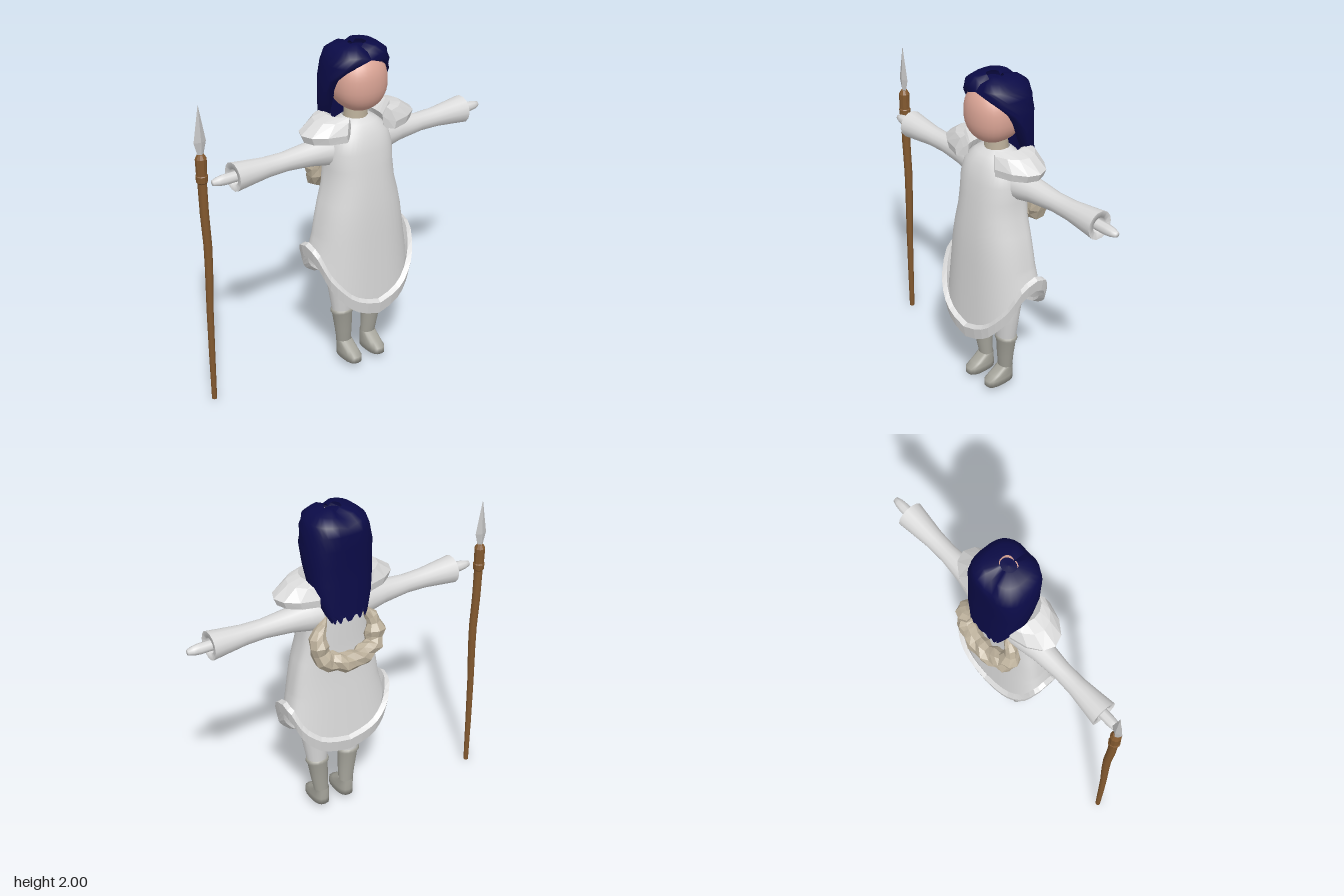
import * as THREE from 'three';

const mat = (name, color) => new THREE.MeshStandardMaterial({ name, color, side: THREE.DoubleSide });
const rad = THREE.MathUtils.degToRad;
const sp = (v, p) => Math.sign(v) * Math.abs(v) ** p;

// Surface through a grid of points f(column, row) -> [x, y, z]
function grid(nu, nv, f, { closed = true, flat = false } = {}) {
  const pos = [], idx = [];
  for (let v = 0; v < nv; v++) for (let u = 0; u < nu; u++) pos.push(...f(u, v));
  for (let v = 0; v < nv - 1; v++) {
    for (let u = 0; u < (closed ? nu : nu - 1); u++) {
      const a = v * nu + u, b = v * nu + (u + 1) % nu, c = a + nu, d = b + nu;
      idx.push(a, c, b, b, c, d);
    }
  }
  let g = new THREE.BufferGeometry();
  g.setAttribute('position', new THREE.Float32BufferAttribute(pos, 3));
  g.setIndex(idx);
  if (flat) g = g.toNonIndexed();
  g.computeVertexNormals();
  return g;
}

// Loft through horizontal rings [y, x, z, rx, rz], listed from top to bottom
function loft(rings, n = 16, flat = false, p = 1) {
  return grid(n, rings.length, (u, v) => {
    const [y, x, z, rx, rz] = rings[v], t = u / n * Math.PI * 2;
    return [x + rx * sp(Math.sin(t), p), y, z + rz * sp(Math.cos(t), p)];
  }, { flat });
}

// Piecewise linear lookup in [key, value] pairs
function lookup(table, k) {
  let i = 1;
  while (i < table.length - 1 && table[i][0] < k) i++;
  const [a, va] = table[i - 1], [b, vb] = table[i];
  return va + (vb - va) * (k - a) / (b - a);
}

export function createModel() {
  const cloth = mat('white cloth', 0xdadada), hairM = mat('dark blue hair', 0x0b0b47);
  const skin = mat('skin', 0xdba596), fur = mat('beige fur', 0xbcb09b);
  const boot = mat('grey leather', 0xa3a299), wood = mat('wood', 0x83592f), steel = mat('steel', 0xc4c4c4);
  const model = new THREE.Group(), body = new THREE.Group();
  body.name = 'figure';
  body.position.x = 0.03;
  model.add(body);
  const add = (name, geo, m, parent = body) => {
    const mesh = new THREE.Mesh(geo, m);
    mesh.name = name;
    parent.add(mesh);
    return mesh;
  };

  // Hem of the tunic: low points at front and back, raised over the hips
  const hemY = [[0, 0.43], [23, 0.49], [53, 0.63], [75, 0.77], [90, 0.8], [108, 0.77], [130, 0.66], [155, 0.58], [180, 0.54]];
  const N = 40;
  const hem = (u, out = 0, dy = 0) => {
    const t = u / N * Math.PI * 2, s = Math.sin(t), c = Math.cos(t);
    const deg = Math.acos(THREE.MathUtils.clamp(c, -1, 1)) * 180 / Math.PI;
    return [(0.305 + out) * sp(s, 0.75), lookup(hemY, deg) + dy, ((c > 0 ? 0.222 : 0.145) + out) * sp(c, 0.75)];
  };

  // Tunic rings: y, half width, front depth, back depth
  const tunic = [[1.575, 0.07, 0.07, 0.06], [1.55, 0.12, 0.11, 0.085], [1.5, 0.18, 0.155, 0.1], [1.4, 0.205, 0.178, 0.1],
    [1.3, 0.205, 0.19, 0.1], [1.2, 0.215, 0.2, 0.095], [1.1, 0.243, 0.208, 0.095], [1, 0.265, 0.213, 0.1], [0.9, 0.28, 0.215, 0.11]];
  const skirtRows = 4;
  add('tunic', grid(N, tunic.length + skirtRows, (u, v) => {
    const [y, rx, zf, zb] = tunic[Math.min(v, tunic.length - 1)], t = u / N * Math.PI * 2;
    const c = Math.cos(t);
    const p = [rx * sp(Math.sin(t), 0.8), y, (c > 0 ? zf : zb) * sp(c, 0.8)];
    const k = Math.max(0, v - tunic.length + 1) / skirtRows, h = hem(u);
    return p.map((a, i) => a + (h[i] - a) * k);
  }), cloth);

  // Thick trim following the hem
  const trim = [[-0.005, -0.02], [0.025, -0.03], [0.038, 0.045], [0.012, 0.06], [-0.005, -0.02]];
  add('hemTrim', grid(N, trim.length, (u, v) => hem(u, ...trim[v]), { flat: true }), cloth);

  // Neck and head
  add('neck', loft([[1.67, 0, 0.01, 0.065, 0.06], [1.5, 0, 0.01, 0.075, 0.07]]), fur);
  const head = new THREE.SphereGeometry(1, 28, 20), hp = head.attributes.position;
  for (let i = 0; i < hp.count; i++) {
    hp.setXYZ(i, 0.157 * sp(hp.getX(i), 0.95), 1.79 + 0.172 * sp(hp.getY(i), 0.88), 0.03 + 0.155 * sp(hp.getZ(i), 0.8));
  }
  head.computeVertexNormals();
  add('head', head, skin);

  // Hair rows: y, half width, centre z, depth, how far the arc wraps from the back
  const hairRows = [[2, 0.05, 0.02, 0.04, 180], [1.99, 0.12, 0.01, 0.11, 180], [1.955, 0.165, 0.005, 0.152, 180],
    [1.9, 0.185, 0, 0.158, 145], [1.82, 0.2, -0.01, 0.15, 112], [1.72, 0.2, -0.015, 0.145, 95], [1.62, 0.193, -0.03, 0.135, 90],
    [1.52, 0.165, -0.09, 0.083, 90], [1.44, 0.135, -0.125, 0.05, 90], [1.39, 0.11, -0.155, 0.025, 90]];
  const H = 29;
  add('hair', grid(H, hairRows.length, (u, v) => {
    const [y, rx, zc, rz, wrap] = hairRows[v];
    const tip = u === 0 || u === H - 1;
    const k = THREE.MathUtils.clamp((u - 1) / (H - 3), 0, 1) * 2 - 1, t = rad(wrap) * k;
    const x = rx * sp(Math.sin(t), 0.75) * (tip ? 0.72 : 1);
    const parting = v < 3 && Math.abs(x) < 0.012 ? 0.02 : 0;
    const jag = v === hairRows.length - 1 && u % 4 < 2 ? 0.03 : 0;
    return [x, y - parting + jag, zc - rz * sp(Math.cos(t), 0.75)];
  }, { closed: false }), hairM);
  add('crown', loft([[1.982, 0, 0.02, 0.001, 0.001], [1.978, 0, 0.02, 0.05, 0.04]]), hairM);

  // Drooping fur roll on the back
  const path = [[-0.12, 1.41, -0.1], [-0.18, 1.3, -0.125], [-0.16, 1.18, -0.15], [0, 1.135, -0.185],
    [0.16, 1.18, -0.15], [0.18, 1.3, -0.125], [0.12, 1.41, -0.1]].map(p => new THREE.Vector3(...p));
  const curve = new THREE.CatmullRomCurve3(path), T = 20;
  const roll = new THREE.TubeGeometry(curve, T, 0.056, 8), rp = roll.attributes.position, q = new THREE.Vector3();
  for (let i = 0; i < rp.count; i++) {
    const k = Math.floor(i / 9) / T, c = curve.getPointAt(k);
    q.fromBufferAttribute(rp, i).sub(c);
    const lump = 1 + 0.18 * Math.sin(k * 75 + 40 * q.y + 30 * q.z);
    q.multiplyScalar(lump * (0.25 + 0.75 * Math.min(1, Math.sin(k * Math.PI) * 1.7))).add(c);
    rp.setXYZ(i, q.x, q.y, q.z);
  }
  const flatRoll = roll.toNonIndexed();
  flatRoll.computeVertexNormals();
  add('furRoll', flatRoll, fur);

  // Profiles along the arm: radius, distance from the body's middle
  const sleeve = [[0.1, 0.13], [0.09, 0.2], [0.07, 0.3], [0.055, 0.46], [0.058, 0.58], [0.074, 0.72], [0.082, 0.785]];
  const cuff = [[0.082, 0.785], [0.045, 0.78], [0.045, 0.7]];
  const hand = [[0.03, 0.68], [0.031, 0.84], [0.026, 0.88], [0.016, 0.91], [0, 0.912]];
  const lathe = (pts, n) => new THREE.LatheGeometry(pts.map(p => new THREE.Vector2(...p)), n).rotateZ(-Math.PI / 2);
  // Shoulder plate section: reach in x, reach in z, y
  const plate = [[0.03, 0.1, 1.57], [0.1, 0.11, 1.625], [0.18, 0.13, 1.605], [0.27, 0.15, 1.54], [0.25, 0.145, 1.495], [0.06, 0.1, 1.5], [0.03, 0.1, 1.57]];

  for (const s of [1, -1]) {
    const side = s > 0 ? 'left' : 'right';
    // Arm with open cuff
    const arm = new THREE.Group();
    arm.name = side + 'Arm';
    arm.position.set(0, 1.4, -0.013);
    arm.rotation.y = s > 0 ? 0 : Math.PI;
    body.add(arm);
    add('sleeve', lathe(sleeve, 14), cloth, arm);
    add('cuff', lathe(cuff, 14), cloth, arm);
    add('hand', lathe(hand, 8), cloth, arm);

    // Faceted shoulder plate with closed ends
    const P = 9;
    add(side + 'ShoulderPlate', grid(P, plate.length, (u, v) => {
      const end = u === 0 || u === P - 1;
      const t = rad(-76 + 152 * THREE.MathUtils.clamp((u - 1) / (P - 3), 0, 1));
      const [rx, rz, y] = end ? [0.12, 0.12, 1.55] : plate[v];
      return [s * (0.1 + rx * Math.cos(t)), y, 0.02 + rz * Math.sin(t)];
    }, { closed: false, flat: true }), cloth);

    // Trouser leg
    add(side + 'Leg', loft([[0.88, s * 0.11, 0.02, 0.12, 0.1], [0.7, s * 0.112, 0.03, 0.105, 0.095], [0.58, s * 0.112, 0.032, 0.097, 0.08],
      [0.48, s * 0.11, 0.03, 0.082, 0.068], [0.36, s * 0.107, 0.025, 0.062, 0.055]]), cloth);

    // Boot with rolled top and flat sole
    add(side + 'Boot', loft([[0.372, s * 0.107, 0.025, 0.05, 0.045], [0.37, s * 0.107, 0.025, 0.068, 0.06], [0.352, s * 0.107, 0.024, 0.073, 0.063],
      [0.335, s * 0.105, 0.023, 0.063, 0.055], [0.22, s * 0.095, 0.02, 0.053, 0.046], [0.13, s * 0.087, 0.013, 0.045, 0.04]]), boot);
    add(side + 'Foot', loft([[0.14, s * 0.087, 0.013, 0.045, 0.04], [0.1, s * 0.085, 0.045, 0.047, 0.076], [0.075, s * 0.085, 0.064, 0.05, 0.097],
      [0.037, s * 0.085, 0.064, 0.05, 0.097], [0.035, s * 0.085, 0.064, 0, 0]], 16, false, 0.75), boot);
  }

  // Spear: slightly bent shaft, wrapped grip, diamond blade
  const spear = new THREE.Group();
  spear.name = 'spear';
  spear.position.set(-0.905, 0, -0.08);
  model.add(spear);
  add('shaft', loft([[1.4, 0, 0, 0.026, 0.026], [1.2, 0.003, 0, 0.025, 0.025], [1, 0.013, 0, 0.024, 0.024], [0.85, 0.012, 0, 0.023, 0.023],
    [0.6, 0.004, 0, 0.02, 0.02], [0.3, 0.001, 0, 0.018, 0.018], [0, 0, 0, 0.015, 0.015], [0, 0, 0, 0, 0]], 10), wood, spear);
  add('grip', loft([[1.55, 0, 0, 0, 0], [1.55, 0, 0, 0.018, 0.018], [1.525, 0, 0, 0.032, 0.032], [1.43, 0, 0, 0.03, 0.03],
    [1.425, 0, 0, 0.034, 0.034], [1.39, 0, 0, 0.032, 0.032], [1.38, 0, 0, 0.025, 0.025]], 10, true), wood, spear);
  add('blade', loft([[1.83, 0, 0, 0, 0], [1.62, 0, 0, 0.037, 0.016], [1.53, 0, 0, 0.014, 0.012]], 4, true), steel, spear);
  return model;
}
